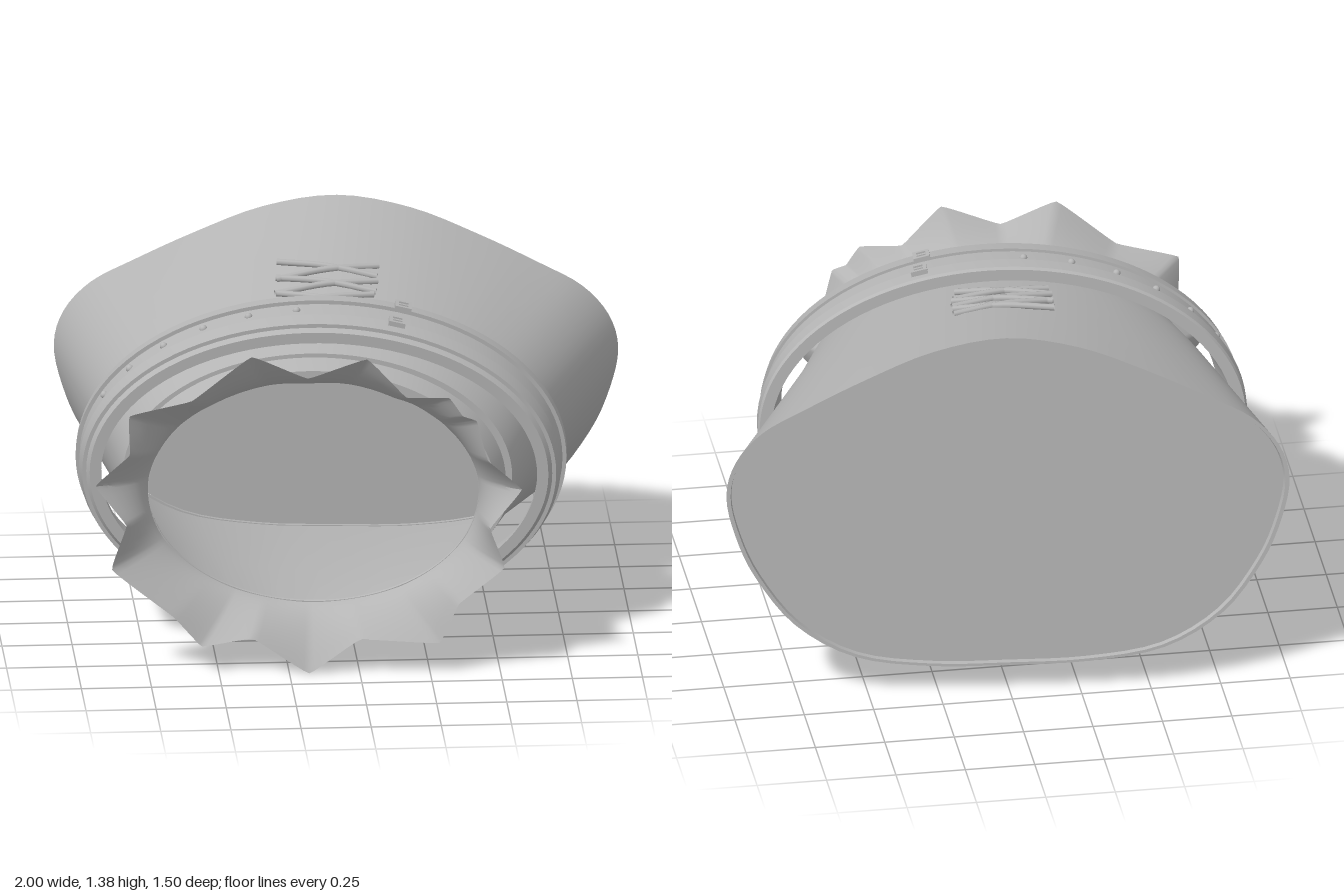
import * as THREE from 'three';
import { toCreasedNormals } from 'three/addons/utils/BufferGeometryUtils.js';

const N = 96;

// Tilted plane: z as a function of x and y
const plane = (z0, ax, ay) => (x, y) => z0 + ax * (x + 0.1) + ay * (y - 0.65);

// Closed oval lying on a tilted plane; p above 2 makes its lower half fuller
function oval(cx, cy, rx, up, down, zAt, p = 2) {
  const ring = [];
  for (let i = 0; i < N; i++) {
    const a = (i / N) * Math.PI * 2, c = Math.cos(a), s = Math.sin(a);
    const e = s < 0 ? 2 / p : 1;
    const x = cx + rx * Math.sign(c) * Math.abs(c) ** e;
    const y = cy + (s < 0 ? -down * Math.abs(s) ** e : up * s);
    ring.push([x, y, zAt(x, y)]);
  }
  return ring;
}

// Outline of the wide back rim: right half from top to bottom, then mirrored
const rimHalf = [
  [0, 1.38], [0.26, 1.335], [0.5, 1.235], [0.72, 1.125], [0.87, 1.04], [0.965, 0.93], [1, 0.8],
  [0.97, 0.645], [0.9, 0.48], [0.76, 0.29], [0.55, 0.16], [0.28, 0.115], [0, 0.11],
];
const rimPoints = [];
for (let k = 0; k < 24; k++) {
  const q = (30 - k) % 24; // steps from the top, counter-clockwise from +x
  const [x, y] = rimHalf[q <= 12 ? q : 24 - q];
  rimPoints.push(new THREE.Vector3(q <= 12 ? x : -x, y, 0));
}
const rimCurve = new THREE.CatmullRomCurve3(rimPoints, true, 'catmullrom', 0.5);
function rimRing(scale, zAt) {
  const ring = [];
  for (let i = 0; i < N; i++) {
    const v = rimCurve.getPoint(i / N);
    const x = v.x * scale, y = 0.75 + (v.y - 0.75) * scale;
    ring.push([x, y, zAt(x, y)]);
  }
  return ring;
}

// Skin a list of rings, running from back to front on the outside
function loft(rings, crease = 0.6) {
  const n = rings[0].length, idx = [];
  for (let r = 0; r < rings.length - 1; r++)
    for (let i = 0; i < n; i++) {
      const j = (i + 1) % n;
      const a = r * n + i, b = r * n + j, c = a + n, d = b + n;
      idx.push(a, b, c, b, d, c);
    }
  const g = new THREE.BufferGeometry();
  g.setAttribute('position', new THREE.Float32BufferAttribute(rings.flat(2), 3));
  g.setIndex(idx);
  return toCreasedNormals(g, crease);
}

export function createModel() {
  const group = new THREE.Group();
  const grey = new THREE.MeshStandardMaterial({ color: 0xb5b5b5, side: THREE.DoubleSide });
  grey.name = 'plain grey';
  const add = (name, geo, parent = group) => {
    const m = new THREE.Mesh(geo, grey);
    m.name = name;
    parent.add(m);
    return m;
  };

  // Tapered body, from the wide back rim to the narrow collar
  const back = (s) => plane(-0.668 + s, 0.09, 0.07);
  const collar = (s) => plane(0.47 + s, 0.085, 0.03);
  add('body', loft([
    rimRing(0.98, back(0.03)),
    rimRing(0.985, back(0)),
    rimRing(1, back(0)),
    oval(-0.105, 0.72, 0.765, 0.465, 0.53, plane(0.09, 0.085, 0.085), 2.2),
    oval(-0.135, 0.665, 0.69, 0.46, 0.475, collar(-0.07)),
    oval(-0.14, 0.655, 0.672, 0.455, 0.465, collar(-0.07)),
    oval(-0.15, 0.645, 0.64, 0.445, 0.45, collar(0.025)),
    oval(-0.155, 0.635, 0.585, 0.415, 0.415, collar(0.025)),
  ]));

  // Flat panel closing the back
  const panel = rimRing(0.98, back(0.015));
  const centre = panel.map(() => [0, 0.75, back(0.015)(0, 0.75)]);
  add('backPanel', loft([centre, panel]));

  // Loose belt: two raised straps on a band, hollow inside
  const beltProfile = [
    [0, -0.045], [0, -0.004], [0.012, 0.002], [0.07, 0.002], [0.07, -0.012], [0.18, -0.024], [0.18, -0.014],
    [0.25, -0.028], [0.25, -0.042], [0.27, -0.055], [0.27, -0.095], [0.24, -0.095], [0, -0.045],
  ];
  const beltZ = (s) => plane(0.09 + s, 0.085, 0.085);
  add('belt', loft(beltProfile.map(([s, d]) =>
    oval(-0.1 - 0.1 * s, 0.657, 0.868 + d, 0.598 + d, 0.598 + d, beltZ(s))), 0.4));

  // Point on top of the belt
  const onBelt = (x, s, d) => {
    const y = 0.657 + (0.598 + d) * Math.sqrt(1 - ((x + 0.1 + 0.1 * s) / (0.868 + d)) ** 2);
    return new THREE.Vector3(x, y, beltZ(s)(x, y));
  };
  for (const x of [-0.88, -0.79, -0.67, -0.53, -0.37, -0.2])
    add('rivet', new THREE.SphereGeometry(0.014, 12, 8)).position.copy(onBelt(x, 0.12, -0.018));

  // Square buckles with a prong
  const frame = new THREE.Shape([[-1, -1], [1, -1], [1, 1], [-1, 1]].map(([x, y]) => new THREE.Vector2(x * 0.03, y * 0.03)));
  frame.holes.push(new THREE.Path([[-1, -1], [-1, 1], [1, 1], [1, -1]].map(([x, y]) => new THREE.Vector2(x * 0.017, y * 0.017))));
  const frameGeo = new THREE.ExtrudeGeometry(frame, { depth: 0.018, bevelEnabled: false }).rotateX(-Math.PI / 2);
  for (const [x, s, d] of [[0.18, 0.06, 0.002], [0.15, 0.19, -0.016]]) {
    const buckle = new THREE.Group();
    buckle.name = 'buckle';
    buckle.position.copy(onBelt(x, s, d));
    buckle.rotation.set(0.08, -0.085, -0.22);
    add('buckleFrame', frameGeo, buckle);
    add('buckleProng', new THREE.BoxGeometry(0.045, 0.01, 0.01), buckle).position.y = 0.012;
    group.add(buckle);
  }

  // Crossed laces over the top of the body
  const onTop = (x, z) => new THREE.Vector3(
    x, 1.229 - 0.25 * z - 0.5 * (1 - Math.sqrt(1 - ((x + 0.08) / 0.8) ** 2)), z);
  const laces = [
    [-0.24, -0.2, 0.11, -0.1], [-0.25, -0.09, 0.12, -0.17], [-0.25, -0.1, 0.1, 0],
    [-0.26, 0, 0.11, -0.07], [-0.25, 0, 0.07, 0.11], [-0.26, 0.08, 0.09, 0.02],
  ];
  for (const [x0, z0, x1, z1] of laces) {
    const path = new THREE.CatmullRomCurve3(
      [0, 0.5, 1].map((t) => onTop(x0 + (x1 - x0) * t, z0 + (z1 - z0) * t)));
    add('lace', new THREE.TubeGeometry(path, 10, 0.012, 8));
  }

  // Flared ruffle with an uneven wavy hem, tips and valleys in turn
  const hem = [
    [0.57, 0.71], [0.45, 0.82], [0.41, 0.97], [0.36, 0.99], [0.31, 1.06], [0.16, 1.06],
    [0.02, 1.205], [-0.19, 1.13], [-0.39, 1.21], [-0.6, 1.04], [-0.82, 0.98], [-0.82, 0.83],
    [-0.94, 0.71], [-0.83, 0.56], [-0.88, 0.39], [-0.66, 0.21], [-0.56, 0.1], [-0.38, 0.13],
    [-0.18, 0.0], [0.0, 0.13], [0.28, 0.12], [0.35, 0.27], [0.51, 0.41], [0.46, 0.56],
  ];
  const hemCurve = new THREE.CatmullRomCurve3(
    hem.map(([x, y]) => new THREE.Vector3(x, y, 0)), true, 'catmullrom', 0.12);
  const hemZ = plane(0.682, 0.09, 0.07), neckZ = collar(0.01);
  const ruffle = [];
  for (let k = 0; k <= 8; k++) {
    const t = k / 8, f = t ** 1.7, ring = [];
    for (let i = 0; i < 144; i++) {
      const h = hemCurve.getPoint(i / 144);
      const a = Math.atan2((h.y - 0.635) / 0.415, (h.x + 0.155) / 0.585);
      const bx = -0.155 + 0.585 * Math.cos(a), by = 0.635 + 0.415 * Math.sin(a);
      const x = bx + (h.x - bx) * f, y = by + (h.y - by) * f;
      ring.push([x, y, neckZ(bx, by) * (1 - t) + hemZ(h.x, h.y) * t]);
    }
    ruffle.push(ring);
  }
  add('ruffle', loft(ruffle, 0.6));

  return group;
}
